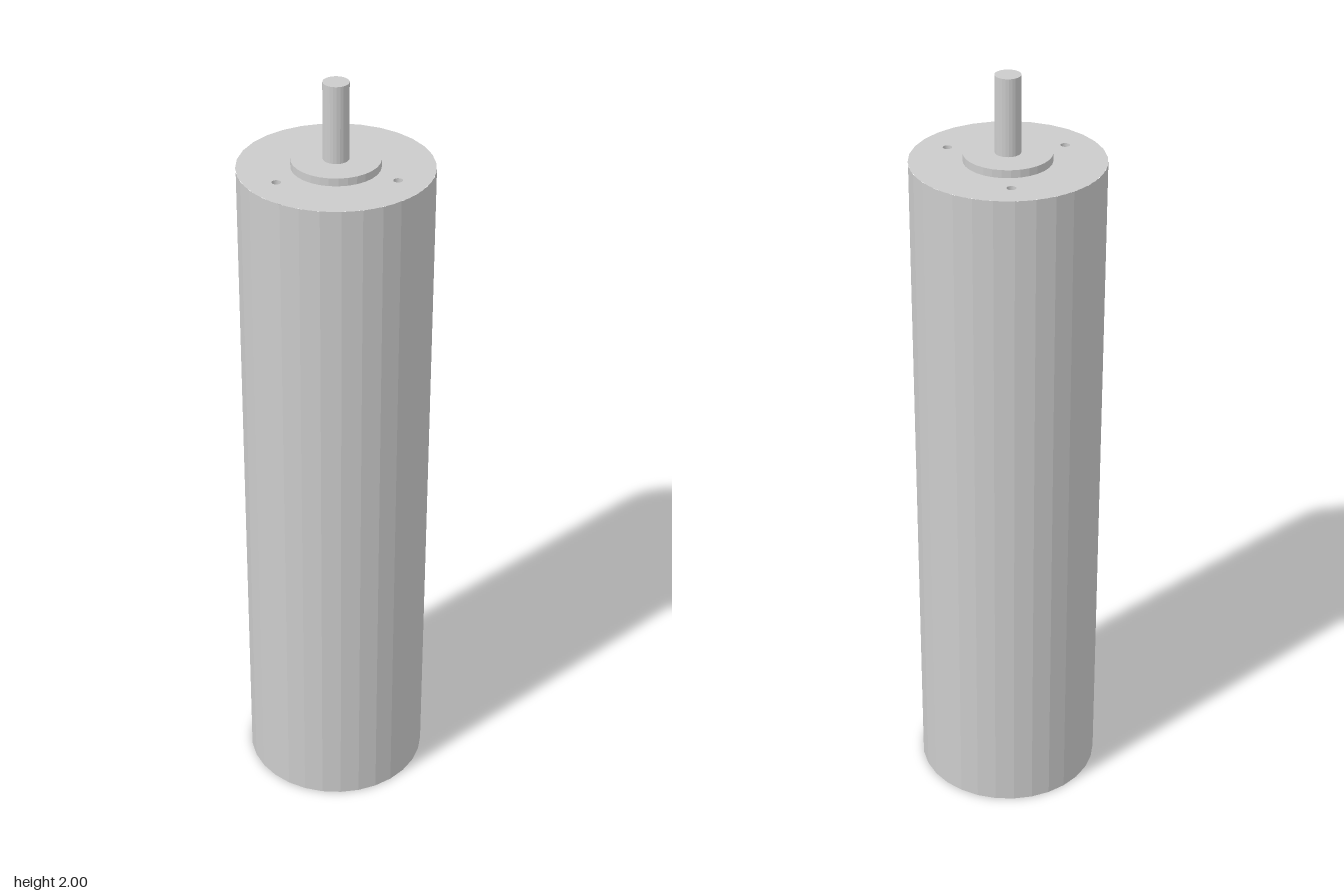
import * as THREE from 'three';

const BODY_R = 0.24, BODY_TOP = 1.785, BOSS_R = 0.109, BOSS_TOP = 1.805;
const SHAFT_R = 0.032, SHAFT_TOP = 2, SIDES = 30;
const HOLE_R = 0.0115, HOLE_RING = 0.165, HOLE_DEPTH = 0.08;

const material = new THREE.MeshStandardMaterial({ color: 0xcccccc, flatShading: true });
const boreMaterial = new THREE.MeshStandardMaterial({ color: 0xcccccc, side: THREE.DoubleSide });

function addMesh(parent, name, geometry, y = 0, mat = material) {
  const mesh = new THREE.Mesh(geometry, mat);
  mesh.name = name;
  mesh.position.y = y;
  parent.add(mesh);
  return mesh;
}

// Upright cylinder between two heights
function addCylinder(parent, name, radius, bottom, top, sides, open = false, mat = material) {
  const geometry = new THREE.CylinderGeometry(radius, radius, top - bottom, sides, 1, open);
  return addMesh(parent, name, geometry, (top + bottom) / 2, mat);
}

// Horizontal disc facing up or down
function addDisc(parent, name, radius, y, sides, up) {
  const geometry = new THREE.CircleGeometry(radius, sides);
  geometry.rotateX(up ? -Math.PI / 2 : Math.PI / 2);
  return addMesh(parent, name, geometry, y);
}

export function createModel() {
  const model = new THREE.Group();
  model.name = 'cylindricalMotor';

  // Housing: faceted wall and closed base
  const housing = new THREE.Group();
  housing.name = 'housing';
  model.add(housing);
  addCylinder(housing, 'housingWall', BODY_R, 0, BODY_TOP, SIDES, true);
  addDisc(housing, 'housingBase', BODY_R, 0, SIDES, false);

  // End face pierced by three mounting holes
  const face = new THREE.Shape();
  for (let i = 0; i < SIDES; i++) {
    const a = (i / SIDES) * Math.PI * 2;
    const x = BODY_R * Math.cos(a), y = BODY_R * Math.sin(a);
    if (i === 0) face.moveTo(x, y);
    else face.lineTo(x, y);
  }
  face.closePath();

  for (let i = 0; i < 3; i++) {
    const a = THREE.MathUtils.degToRad(89 + i * 120);
    const x = HOLE_RING * Math.cos(a), z = -HOLE_RING * Math.sin(a);
    face.holes.push(new THREE.Path().absarc(x, -z, HOLE_R, 0, Math.PI * 2, true));

    // Blind bore below each opening
    const hole = new THREE.Group();
    hole.name = 'mountingHole' + (i + 1);
    hole.position.set(x, 0, z);
    addCylinder(hole, 'boreWall', HOLE_R, BODY_TOP - HOLE_DEPTH, BODY_TOP, 24, true, boreMaterial);
    addDisc(hole, 'boreFloor', HOLE_R, BODY_TOP - HOLE_DEPTH, 24, true);
    model.add(hole);
  }
  const faceGeometry = new THREE.ShapeGeometry(face, 12);
  faceGeometry.rotateX(-Math.PI / 2);
  addMesh(housing, 'endFace', faceGeometry, BODY_TOP);

  // Raised centring boss and output shaft
  addCylinder(model, 'centringBoss', BOSS_R, BODY_TOP, BOSS_TOP, SIDES);
  addCylinder(model, 'outputShaft', SHAFT_R, BODY_TOP, SHAFT_TOP, 24);

  return model;
}
